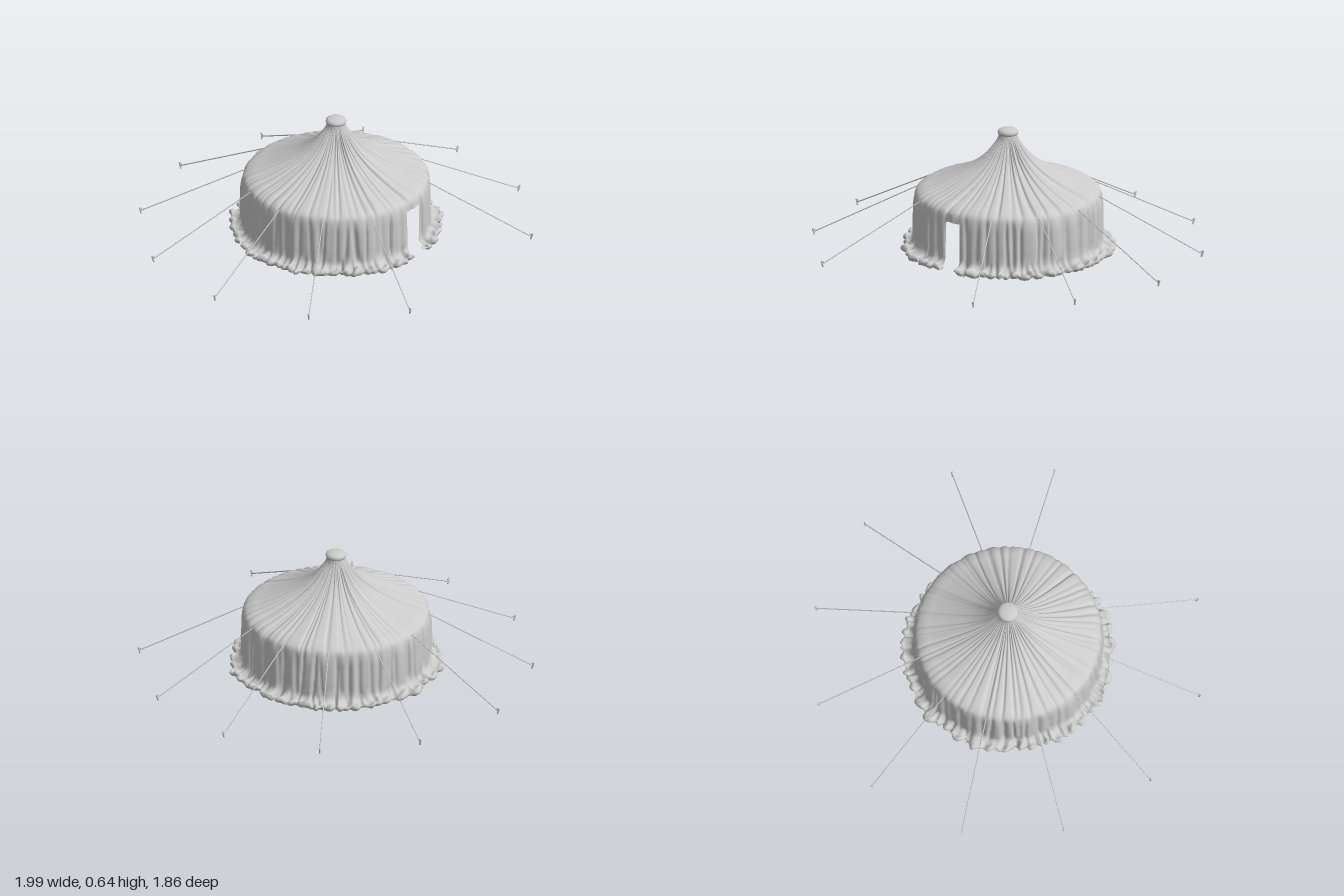
import * as THREE from 'three';

const CENTRE_Z = 0.065;
const TAU = Math.PI * 2;
const COLS = 480;       // columns of cloth around the tent
const STEPS = 4;        // rows of cloth between two profile points
const DOOR_COLS = 15;   // columns left open for the doorway
const DOOR_START = -0.035;

// Cloth profile (radius, height) from the neck down to the curled hem
const PROFILE = [
  [0.045, 0.615], [0.053, 0.585], [0.075, 0.55], [0.12, 0.495], [0.19, 0.44], [0.28, 0.392],
  [0.37, 0.354], [0.43, 0.332], [0.462, 0.308], [0.474, 0.264], [0.477, 0.2], [0.478, 0.14],
  [0.478, 0.09], [0.484, 0.06], [0.503, 0.046], [0.523, 0.045], [0.534, 0.03], [0.522, 0.012],
  [0.495, 0.009], [0.474, 0.014],
];
const DOOR_ROW = 9 * STEPS;

function seeded(seed) {
  return () => {
    seed = (seed * 16807) % 2147483647;
    return seed / 2147483647;
  };
}

// Narrow random creases running down the cloth
function makeCreases(count, seed, width, depth) {
  const rnd = seeded(seed);
  return Array.from({ length: count }, (_, i) => ({
    angle: ((i + rnd() * 0.9) / count) * TAU,
    width: width * (0.6 + rnd()),
    depth: depth * (0.3 + rnd()),
    sway: (rnd() - 0.5) * 0.05,
    phase: rnd() * TAU,
  }));
}

function creaseDepth(list, a, t) {
  let d = 0;
  for (const c of list) {
    let x = a - c.angle - c.sway * Math.sin(t * 7 + c.phase);
    x -= TAU * Math.round(x / TAU);
    const k = x / c.width;
    if (Math.abs(k) < 3) d -= c.depth * Math.exp(-k * k);
  }
  return d;
}

function clothGeometry() {
  const curve = new THREE.CatmullRomCurve3(PROFILE.map(([r, y]) => new THREE.Vector3(r, y, 0)));
  const rows = (PROFILE.length - 1) * STEPS;
  const roof = makeCreases(64, 11, 0.018, 0.008);
  const wall = makeCreases(60, 37, 0.02, 0.015);
  const hem = makeCreases(74, 91, 0.018, 0.022);
  const ss = THREE.MathUtils.smoothstep;
  const pos = [], index = [];

  for (let j = 0; j <= rows; j++) {
    const t = j / rows;
    const p = curve.getPoint(t), tan = curve.getTangent(t);
    const nx = -tan.y, ny = tan.x;              // outward normal of the profile
    const row = j / STEPS;
    const wRoof = ss(row, 0, 3) * (1 - ss(row, 7, 9.5));
    const wWall = ss(row, 7.5, 10);
    const wHem = ss(row, 11.5, 14.5);
    for (let i = 0; i < COLS; i++) {
      const a = DOOR_START + (i / COLS) * TAU;
      let d = wRoof * creaseDepth(roof, a, t) + wWall * (1 - wHem) * creaseDepth(wall, a, t);
      d += wWall * 0.004 * Math.sin(a * 17 + Math.sin(a * 5) * 2);
      if (wHem > 0) {
        d += wHem * creaseDepth(hem, a, t * 2);
        d += wHem * 0.006 * Math.sin(a * 41 + 2 * Math.sin(a * 3) + row * 1.3);
      }
      const sway = wHem * (0.008 * Math.sin(a * 9 + Math.sin(a * 4)) + 0.005 * Math.sin(a * 23));
      const r = p.x + nx * d + sway;
      const y = Math.max(0, p.y + ny * d * (row > 16 ? 0.3 : 1));
      pos.push(Math.sin(a) * r, y, Math.cos(a) * r);
    }
  }
  for (let j = 0; j < rows; j++) {
    for (let i = 0; i < COLS; i++) {
      if (j >= DOOR_ROW && i < DOOR_COLS) continue;   // doorway
      const n = (i + 1) % COLS;
      const a = j * COLS + i, b = j * COLS + n, c = a + COLS, d = b + COLS;
      index.push(a, c, b, b, c, d);
    }
  }
  const g = new THREE.BufferGeometry();
  g.setAttribute('position', new THREE.Float32BufferAttribute(pos, 3));
  g.setIndex(index);
  g.computeVertexNormals();
  return g;
}

export function createModel() {
  const group = new THREE.Group();
  const tent = new THREE.Group();
  tent.name = 'tent';
  tent.position.z = CENTRE_Z;
  group.add(tent);

  const grey = new THREE.MeshStandardMaterial({ color: 0xcccccc });
  const cloth = new THREE.MeshStandardMaterial({ color: 0xcccccc, side: THREE.DoubleSide });

  function add(name, geometry, material = grey, parent = tent) {
    const mesh = new THREE.Mesh(geometry, material);
    mesh.name = name;
    parent.add(mesh);
    return mesh;
  }
  function rod(name, from, to, radius, parent) {
    const dir = to.clone().sub(from);
    const mesh = add(name, new THREE.CylinderGeometry(radius, radius, dir.length(), 8), grey, parent);
    mesh.position.copy(from).addScaledVector(dir, 0.5);
    mesh.quaternion.setFromUnitVectors(new THREE.Vector3(0, 1, 0), dir.normalize());
  }
  const v = (x, y, z = 0) => new THREE.Vector3(x, y, z);

  // Roof, wall and ruffled hem in one sheet
  add('canvas', clothGeometry(), cloth);

  // Rounded cap on the peak
  const capProfile = [[0, 0.6], [0.042, 0.602], [0.05, 0.61], [0.052, 0.618], [0.05, 0.627], [0.04, 0.634], [0.02, 0.638], [0, 0.639]];
  add('cap', new THREE.LatheGeometry(capProfile.map(([r, y]) => new THREE.Vector2(r, y)), 40));

  // Inner frame: centre pole and eave ring
  rod('centrePole', v(0, 0.005), v(0, 0.61), 0.011, tent);
  const ring = add('eaveRing', new THREE.TorusGeometry(0.446, 0.008, 8, 96));
  ring.rotation.x = Math.PI / 2;
  ring.position.y = 0.3;

  // Guy ropes with hooked pegs, all round except at the door
  for (let i = 1; i < 12; i++) {
    const guy = new THREE.Group();
    guy.name = 'guyLine' + i;
    guy.rotation.y = (i / 12) * TAU - Math.PI / 2;
    tent.add(guy);
    rod('rope', v(0.462, 0.306), v(0.988, 0.033), 0.0028, guy);
    rod('peg', v(0.983, 0.018), v(0.993, 0.05), 0.0045, guy);
    rod('pegHook', v(0.993, 0.048), v(0.979, 0.044), 0.0035, guy);
  }
  return group;
}
